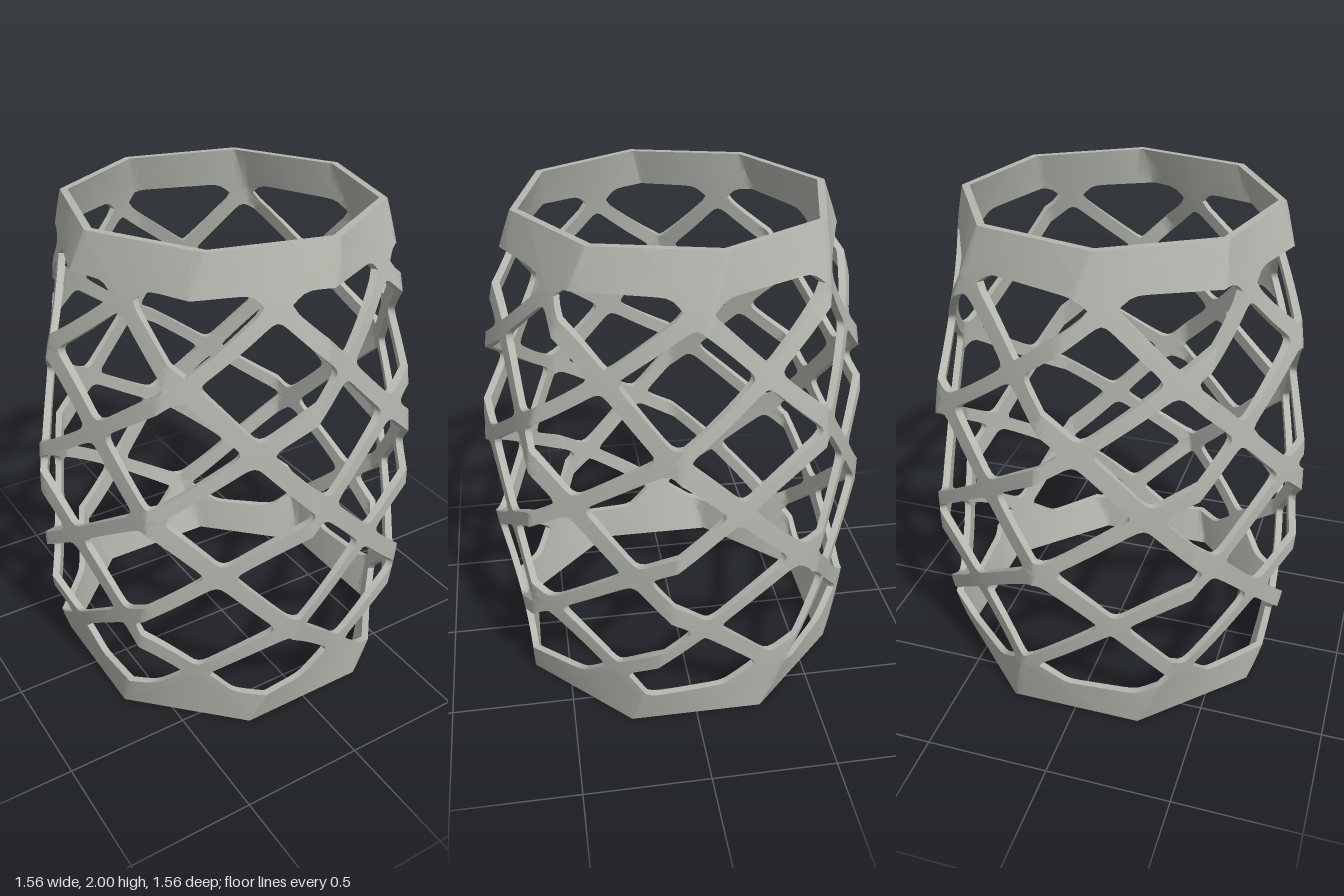
import * as THREE from 'three';
import { toCreasedNormals } from 'three/addons/utils/BufferGeometryUtils.js';

const HEIGHT = 2, WALL = 0.03, COLS = 7;
const FACE = Math.PI / 4;                       // angle of one octagon side
const rad = THREE.MathUtils.degToRad;
const PHASE = rad(8.5);                         // where the lattice starts
const HALF_U = Math.PI / COLS, HALF_Y = 0.257;  // half a diamond, in angle and height
const M = 14;                                   // steps along one diamond edge
const MARGIN = 0.15;                            // strut share of a diamond
const HOLE_MIN = 0.16, HOLE_MAX = 1.847;        // solid bands outside these heights

// The octagon turns fast near the ends and slowly at the belly; the lattice turns evenly
const octagonTwist = y => rad(15.4 * y + 4.5 * Math.sin(Math.PI * y));
const latticeTwist = y => rad(15.4 * y - 2 * Math.sin(Math.PI * y));

// From lattice coordinates to angle on the untwisted octagon
const toOctagon = ([v, y]) => [v + latticeTwist(y) - octagonTwist(y), y];

// Point on the twisted, bulging octagon: u is the untwisted angle, depth goes inward
function surface([u, y], depth) {
  const fromFace = u - Math.round(u / FACE) * FACE;
  const corner = 0.70 + 0.215 * y - 0.13 * y * y - depth;
  const r = corner * Math.cos(FACE / 2) / Math.cos(fromFace);
  const a = u + octagonTwist(y);
  return new THREE.Vector3(r * Math.sin(a), y, r * Math.cos(a));
}

const mix = (a, b, t) => [a[0] + (b[0] - a[0]) * t, a[1] + (b[1] - a[1]) * t];
const clampY = ([u, y]) => [u, THREE.MathUtils.clamp(y, 0, HEIGHT)];

// The octagon corner lying between the lowest and highest u of some points, if any
function cornerWithin(points) {
  const us = points.map(p => p[0]);
  const corner = (Math.floor(Math.min(...us) / FACE - 0.5 + 1e-7) + 1.5) * FACE;
  return corner < Math.max(...us) - 1e-7 ? corner : null;
}

// Part of a polygon on one side of the line u = corner
function cutPolygon(points, corner, side) {
  const out = [];
  points.forEach((p, i) => {
    const q = points[(i + 1) % points.length];
    const dp = (p[0] - corner) * side, dq = (q[0] - corner) * side;
    if (dp >= 0) out.push(p);
    if (dp * dq < 0) out.push([corner, mix(p, q, dp / (dp - dq))[1]]);
  });
  return out;
}

// Collects wall patches, given in lattice coordinates, and turns them into a mesh
function makeBuilder() {
  const pos = [];
  const ab = new THREE.Vector3(), ac = new THREE.Vector3();
  const fan = pts => {
    for (let i = 1; i < pts.length - 1; i++) {
      const [a, b, c] = [pts[0], pts[i], pts[i + 1]];
      ab.subVectors(b, a).cross(ac.subVectors(c, a));
      if (ab.length() < 1e-9) continue;
      for (const p of [a, b, c]) pos.push(p.x, p.y, p.z);
    }
  };
  return {
    // Outer and inner face of a patch, corners counter-clockwise from outside
    patch(...corners) {
      const points = corners.map(toOctagon);
      const corner = cornerWithin(points);
      const pieces = corner === null ? [points] : [-1, 1].map(s => cutPolygon(points, corner, s));
      for (const piece of pieces) {
        fan(piece.map(p => surface(p, 0)));
        fan(piece.map(p => surface(p, WALL)).reverse());
      }
    },
    // Wall thickness along an edge
    rim(...ends) {
      const path = ends.map(toOctagon);
      const corner = cornerWithin(path);
      if (corner !== null) {
        const [a, b] = path;
        path.splice(1, 0, [corner, mix(a, b, (corner - a[0]) / (b[0] - a[0]))[1]]);
      }
      for (let i = 1; i < path.length; i++) {
        const [p, q] = [path[i - 1], path[i]];
        fan([surface(p, 0), surface(q, 0), surface(q, WALL), surface(p, WALL)]);
      }
    },
    mesh(name, material) {
      const g = new THREE.BufferGeometry();
      g.setAttribute('position', new THREE.Float32BufferAttribute(pos, 3));
      const m = new THREE.Mesh(toCreasedNormals(g, 0.9), material);
      m.name = name;
      return m;
    },
  };
}

// Rounded hole edge on the ray from the hole centre towards point p
function holePoint(p, uc, yc, cy) {
  const du = p[0] - uc, dy = p[1] - cy;
  const inv = [];
  for (const su of [-1, 1]) for (const sy of [-1, 1]) {
    const room = 1 - MARGIN - sy * (cy - yc) / HALF_Y;
    inv.push((su * du / HALF_U + sy * dy / HALF_Y) / room);
  }
  inv.push(dy / (HOLE_MAX - cy), -dy / (cy - HOLE_MIN));
  const power = cy === yc ? 12 : 24;   // holes cut off by a band have tighter corners
  const sum = inv.reduce((s, v) => s + (v > 0 ? v ** power : 0), 0);
  const t = sum ** (-1 / power);
  return [uc + du * t, cy + dy * t];
}

// One diamond frame around a rounded hole
function addDiamond(builder, uc, yc) {
  const corners = [[uc, yc - HALF_Y], [uc + HALF_U, yc], [uc, yc + HALF_Y], [uc - HALF_U, yc]];
  const cut = yc - HALF_Y < HOLE_MIN || yc + HALF_Y > HOLE_MAX;
  const low = Math.max(yc - HALF_Y, HOLE_MIN), high = Math.min(yc + HALF_Y, HOLE_MAX);
  const cy = cut ? (low + high) / 2 : yc;
  const outer = [];
  corners.forEach((c, k) => {
    for (let i = 0; i < M; i++) outer.push(clampY(mix(c, corners[(k + 1) % 4], i / M)));
  });
  const inner = outer.map(p => holePoint(p, uc, yc, cy));
  outer.forEach((o, i) => {
    const j = (i + 1) % outer.length;
    builder.patch(o, outer[j], inner[j], inner[i]);
    builder.rim(inner[i], inner[j]);
  });
}

// Solid half diamonds at the lower or upper end, plus the end rim
function addBand(builder, top) {
  const row = top ? 8 : 0;
  const endY = top ? HEIGHT : 0;
  for (let c = 0; c < COLS; c++) {
    const uc = PHASE + HALF_U * (row + 2 * c);
    for (let i = -M; i < M; i++) {
      const edge = k => {
        const rise = HALF_Y * (1 - Math.abs(k) / M);
        return clampY([uc + HALF_U * k / M, row * HALF_Y + (top ? -rise : rise)]);
      };
      const a = edge(i), b = edge(i + 1);
      const endA = [a[0], endY], endB = [b[0], endY];
      if (top) {
        builder.patch(a, b, endB, endA);
        builder.rim(endA, endB);
      } else {
        builder.patch(endA, endB, b, a);
        builder.rim(endB, endA);
      }
    }
  }
}

export function createModel() {
  const group = new THREE.Group();
  group.name = 'twistedLatticeSleeve';
  const grey = new THREE.MeshStandardMaterial({ color: 0xb4b6ae });
  grey.name = 'warm grey';

  // Diamond lattice, seven staggered rows
  const lattice = makeBuilder();
  for (let row = 1; row <= 7; row++) {
    for (let c = 0; c < COLS; c++) {
      addDiamond(lattice, PHASE + HALF_U * (row + 2 * c), row * HALF_Y);
    }
  }
  group.add(lattice.mesh('diamondLattice', grey));

  // Solid end bands
  for (const top of [false, true]) {
    const band = makeBuilder();
    addBand(band, top);
    group.add(band.mesh(top ? 'upperBand' : 'lowerBand', grey));
  }
  return group;
}
